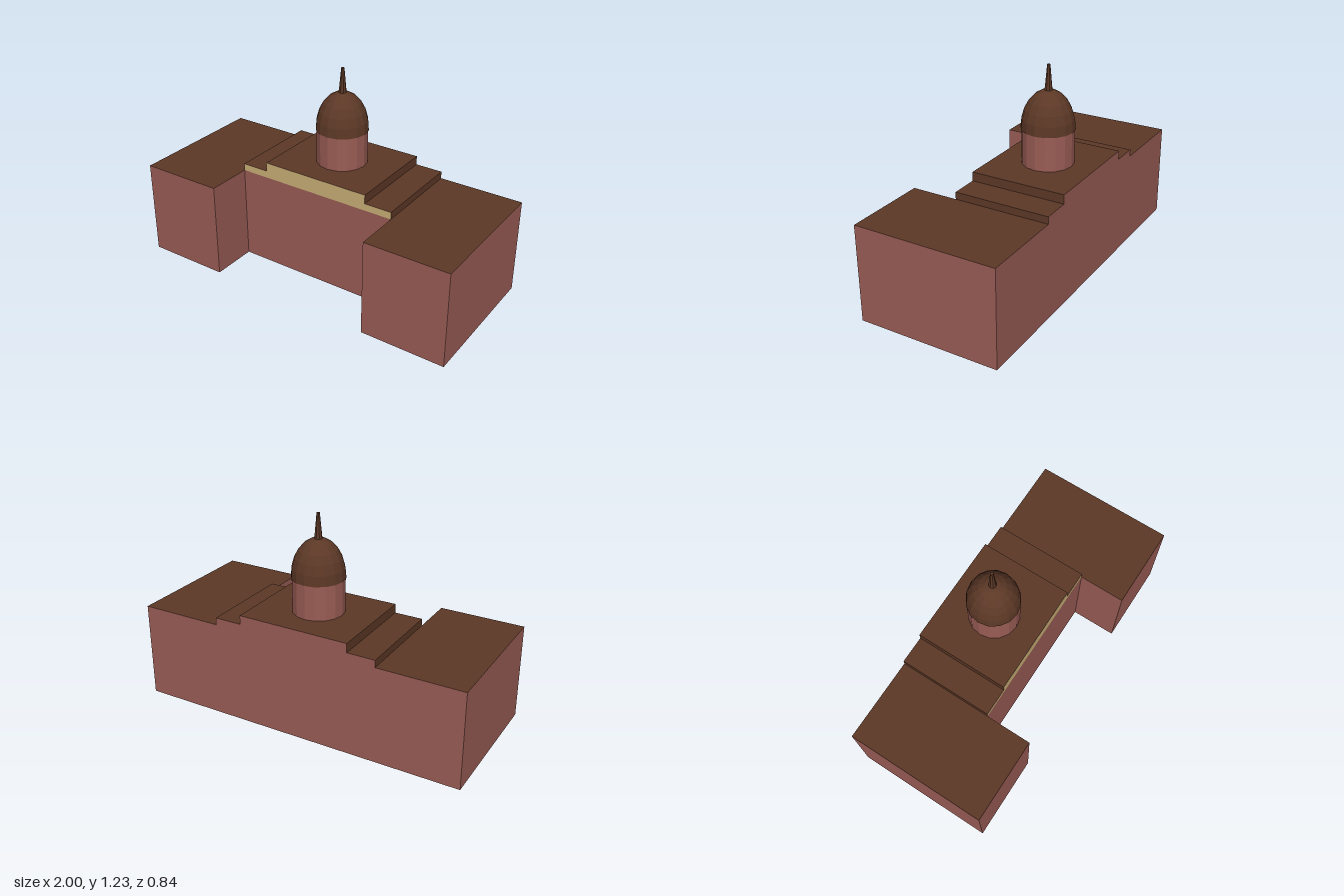
import * as THREE from 'three';

const paint = (color) => new THREE.MeshStandardMaterial({ color, flatShading: true, side: THREE.DoubleSide });

// Ribbon of flat quads between two matching lists of [x, y, z] points
function ribbon(lower, upper) {
  const pos = [];
  for (let i = 0; i < lower.length - 1; i++) {
    const [a, b, c, d] = [lower[i], lower[i + 1], upper[i + 1], upper[i]];
    pos.push(...a, ...b, ...c, ...a, ...c, ...d);
  }
  const g = new THREE.BufferGeometry();
  g.setAttribute('position', new THREE.Float32BufferAttribute(pos, 3));
  g.computeVertexNormals();
  return g;
}

export function createModel() {
  const group = new THREE.Group();
  const brick = paint(0x9a5c55), roofing = paint(0x5c3826), stone = paint(0xc9ae76);
  const add = (name, geometry, material, x = 0, y = 0, z = 0) => {
    const mesh = new THREE.Mesh(geometry, material);
    mesh.name = name;
    mesh.position.set(x, y, z);
    group.add(mesh);
    return mesh;
  };

  const back = -0.42, front = 0.42, recess = 0.145, eaves = 0.57;

  // Outer walls, open underneath, around a U-shaped plan
  const plan = [[-1, front], [-0.5, front], [-0.5, recess], [0.5, recess],
    [0.5, front], [1, front], [1, back], [-1, back], [-1, front]];
  add('walls', ribbon(plan.map(([x, z]) => [x, 0, z]), plan.map(([x, z]) => [x, eaves, z])), brick);

  // Flat roofs of the two wings
  for (const [name, x] of [['rightWingRoof', -1], ['leftWingRoof', 0.5]]) {
    add(name, ribbon([[x, eaves, front], [x + 0.5, eaves, front]],
      [[x, eaves, back], [x + 0.5, eaves, back]]), roofing);
  }

  // Stepped roof over the middle, with a gable at each end
  const steps = [[-0.5, eaves], [-0.5, 0.612], [-0.335, 0.612], [-0.335, 0.665],
    [0.335, 0.665], [0.335, 0.612], [0.5, 0.612], [0.5, eaves]];
  add('steppedRoof', ribbon(steps.map(([x, y]) => [x, y, recess]), steps.map(([x, y]) => [x, y, back])), roofing);
  const gable = new THREE.ShapeGeometry(new THREE.Shape(steps.map(([x, y]) => new THREE.Vector2(x, y))));
  add('frontGable', gable, stone, 0, 0, recess);
  add('backGable', gable, brick, 0, 0, back).rotation.y = Math.PI;

  // Round tower: drum, dome and spire
  const towerZ = -0.137;
  add('drum', new THREE.CylinderGeometry(0.149, 0.149, 0.205, 16, 1, true), brick, 0, 0.7675, towerZ);
  const dome = [];
  for (let i = 0; i <= 6; i++) {
    const a = (i / 6) * Math.PI / 2;
    dome.push(new THREE.Vector2(0.153 * Math.cos(a), 0.225 * Math.sin(a)));
  }
  dome[6].x = 0;
  add('dome', new THREE.LatheGeometry(dome, 16), roofing, 0, 0.865, towerZ);
  add('spire', new THREE.CylinderGeometry(0.009, 0.023, 0.15, 8), roofing, 0, 1.155, towerZ);

  return group;
}
